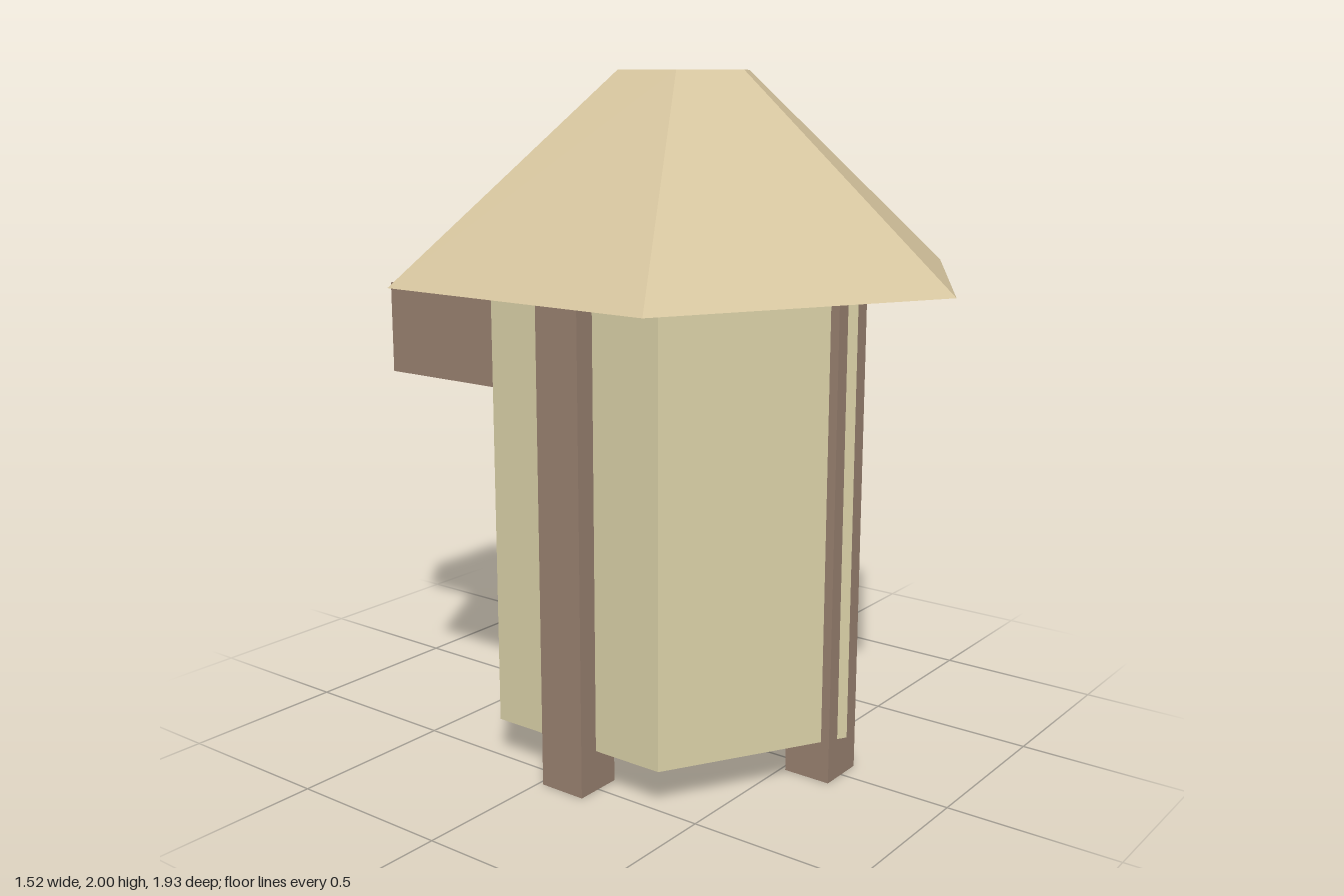
import * as THREE from 'three';

const CENTER_Z = 0.087; // axis of the hexagonal hut

export function createModel() {
  const model = new THREE.Group();
  const paint = (color) => new THREE.MeshStandardMaterial({ color, flatShading: true });
  const thatch = paint(0xd4c39d);
  const plaster = paint(0xdcd3a9);
  const wood = paint(0x9b8372);

  const add = (name, geometry, material, x, y, z) => {
    const mesh = new THREE.Mesh(geometry, material);
    mesh.name = name;
    mesh.position.set(x, y, z);
    model.add(mesh);
  };

  // Six-sided prism or frustum with a corner towards the front
  const hexagon = (name, topR, bottomR, y0, y1, material) =>
    add(name, new THREE.CylinderGeometry(topR, bottomR, y1 - y0, 6), material, 0, (y0 + y1) / 2, CENTER_Z);

  hexagon('walls', 0.588, 0.588, 0.12, 1.42, plaster);
  hexagon('roof', 0.205, 0.878, 1.42, 2, thatch);

  // Four square posts that carry the roof and lift the walls off the ground
  const postGeometry = new THREE.BoxGeometry(0.145, 1.42, 0.145);
  const posts = { frontPost: [0, 0.5], backPost: [0, -0.5], leftPost: [0.5, 0], rightPost: [-0.5, 0] };
  for (const [name, [x, z]] of Object.entries(posts)) {
    add(name, postGeometry, wood, x, 0.71, CENTER_Z + z);
  }

  // Wooden box sticking out of the back wall
  const boxBack = -0.97, boxFront = -0.38;
  add('backBox', new THREE.BoxGeometry(0.354, 0.294, boxFront - boxBack), wood,
    0, 1.178, (boxFront + boxBack) / 2);

  return model;
}
